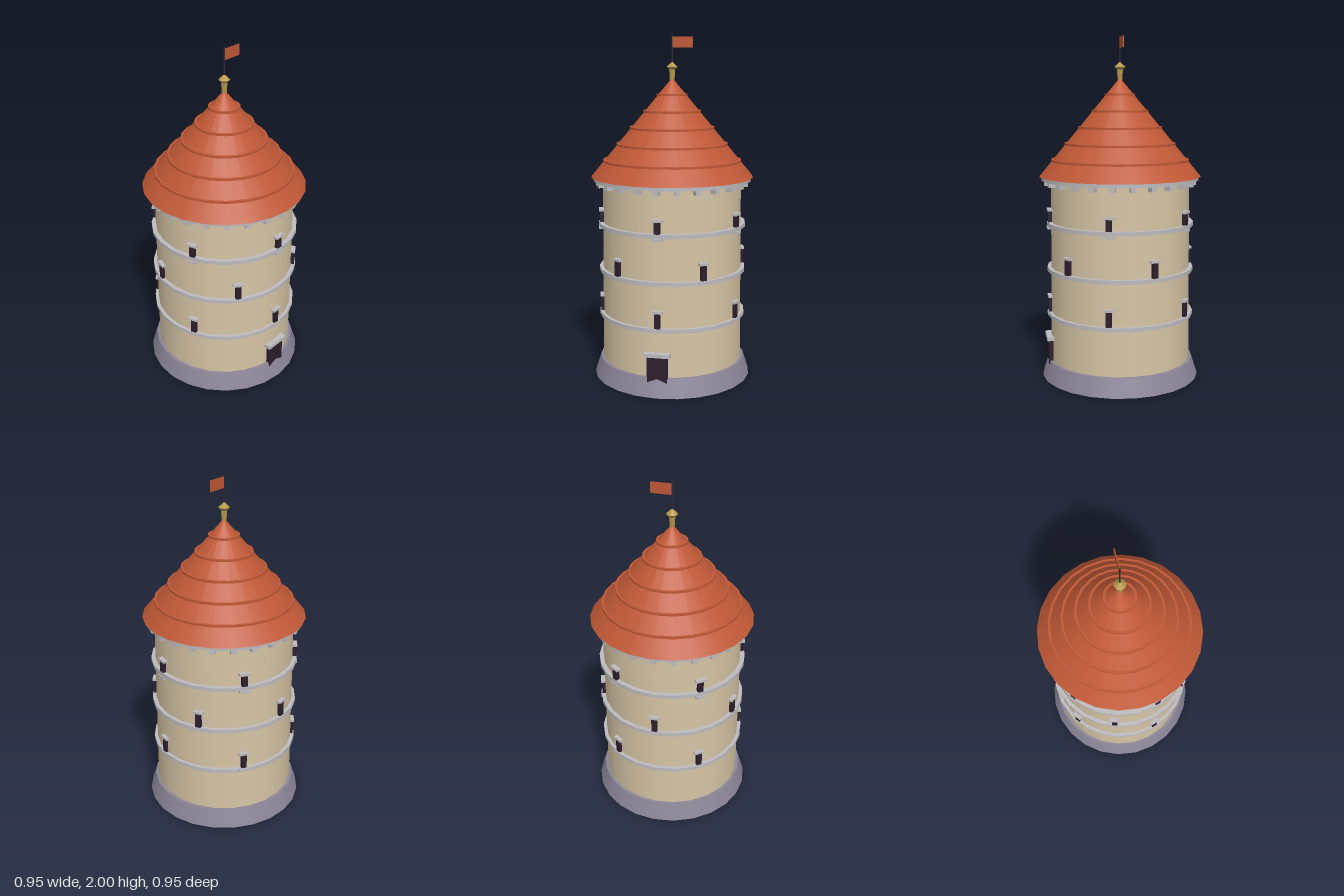
import * as THREE from 'three';

const mat = (name, color) => {
  const m = new THREE.MeshStandardMaterial({ color });
  m.name = name;
  return m;
};

export function createModel() {
  const tower = new THREE.Group();
  tower.name = 'tower';
  const SIDES = 24;

  const plaster = mat('plaster', 0xd6c5a5);
  const footing = mat('footing stone', 0x8c8698);
  const trim = mat('trim stone', 0xbdbbbe);
  const tile = mat('roof tile', 0xbf5836);
  const dark = mat('dark opening', 0x2c1f2d);
  const brass = mat('brass', 0xb8974c);
  const iron = mat('iron', 0x2e2a33);
  const brassFlat = brass;

  const add = (parent, name, geometry, material) => {
    const mesh = new THREE.Mesh(geometry, material);
    mesh.name = name;
    parent.add(mesh);
    return mesh;
  };

  // Round part between two heights
  const drum = (name, rTop, rBottom, y0, y1, material, sides = SIDES) => {
    let g = new THREE.CylinderGeometry(rTop, rBottom, y1 - y0, sides);
    if (sides < SIDES) {
      g = g.toNonIndexed();
      g.computeVertexNormals();
    }
    const mesh = add(tower, name, g, material);
    mesh.position.y = (y0 + y1) / 2;
    return mesh;
  };

  // Box spanning x = +-w/2, given heights and radial depths
  const block = (parent, name, w, y0, y1, z0, z1, material) => {
    const mesh = add(parent, name, new THREE.BoxGeometry(w, y1 - y0, z1 - z0), material);
    mesh.position.set(0, (y0 + y1) / 2, (z0 + z1) / 2);
    return mesh;
  };

  // Body
  drum('footing', 0.432, 0.466, 0, 0.105, footing);
  drum('wall', 0.405, 0.415, 0.1, 1.17, plaster);
  [0.368, 0.635, 0.903].forEach((y) => drum('stringCourse', 0.432, 0.432, y, y + 0.023, trim));

  // Door
  const door = new THREE.Group();
  door.name = 'door';
  block(door, 'doorLeaf', 0.116, 0.06, 0.228, 0.38, 0.433, dark);
  block(door, 'doorLintel', 0.15, 0.228, 0.25, 0.38, 0.444, trim);
  tower.add(door);

  // Five windows per floor, staggered on the middle floor
  [[0.387, 0], [0.655, 0.5], [0.902, 0]].forEach(([sillTop, shift]) => {
    for (let i = 0; i < 5; i++) {
      const win = new THREE.Group();
      win.name = 'window';
      block(win, 'windowOpening', 0.032, sillTop, sillTop + 0.09, 0.39, 0.427, dark);
      block(win, 'windowLintel', 0.06, sillTop + 0.09, sillTop + 0.104, 0.39, 0.431, trim);
      block(win, 'windowSill', 0.06, sillTop - 0.015, sillTop, 0.39, 0.433, trim);
      win.rotation.y = ((i + shift) / 5) * Math.PI * 2;
      tower.add(win);
    }
  });

  // Cornice and its corbels
  drum('cornice', 0.46, 0.46, 1.168, 1.19, trim);
  for (let i = 0; i < 24; i++) {
    const pivot = new THREE.Group();
    pivot.name = 'corbel';
    block(pivot, 'corbelBlock', 0.032, 1.14, 1.17, 0.39, 0.446, trim);
    pivot.rotation.y = (i / 24) * Math.PI * 2;
    tower.add(pivot);
  }

  // Conical roof with raised tile courses
  const eave = 1.19, apex = 1.76, roofRadius = 0.474;
  drum('roof', 0, roofRadius, eave, apex, tile);
  for (let i = 1; i <= 5; i++) {
    const y = 1.196 + 0.0945 * i;
    const r = roofRadius * (apex - y) / (apex - eave) + 0.013;
    drum('tileCourse', r, r, y - 0.012, y, tile);
  }

  // Finial, pole and flag
  drum('finialStem', 0.018, 0.014, 1.745, 1.806, brassFlat, 8);
  drum('finialCup', 0.033, 0.017, 1.803, 1.82, brassFlat, 8);
  drum('finialCap', 0.003, 0.033, 1.82, 1.848, brassFlat, 8);
  drum('flagPole', 0.004, 0.004, 1.8, 2.0, iron, 8);
  const flag = add(tower, 'flag', new THREE.BoxGeometry(0.116, 0.063, 0.004), tile);
  flag.position.set(0.061, 1.959, 0);

  return tower;
}
